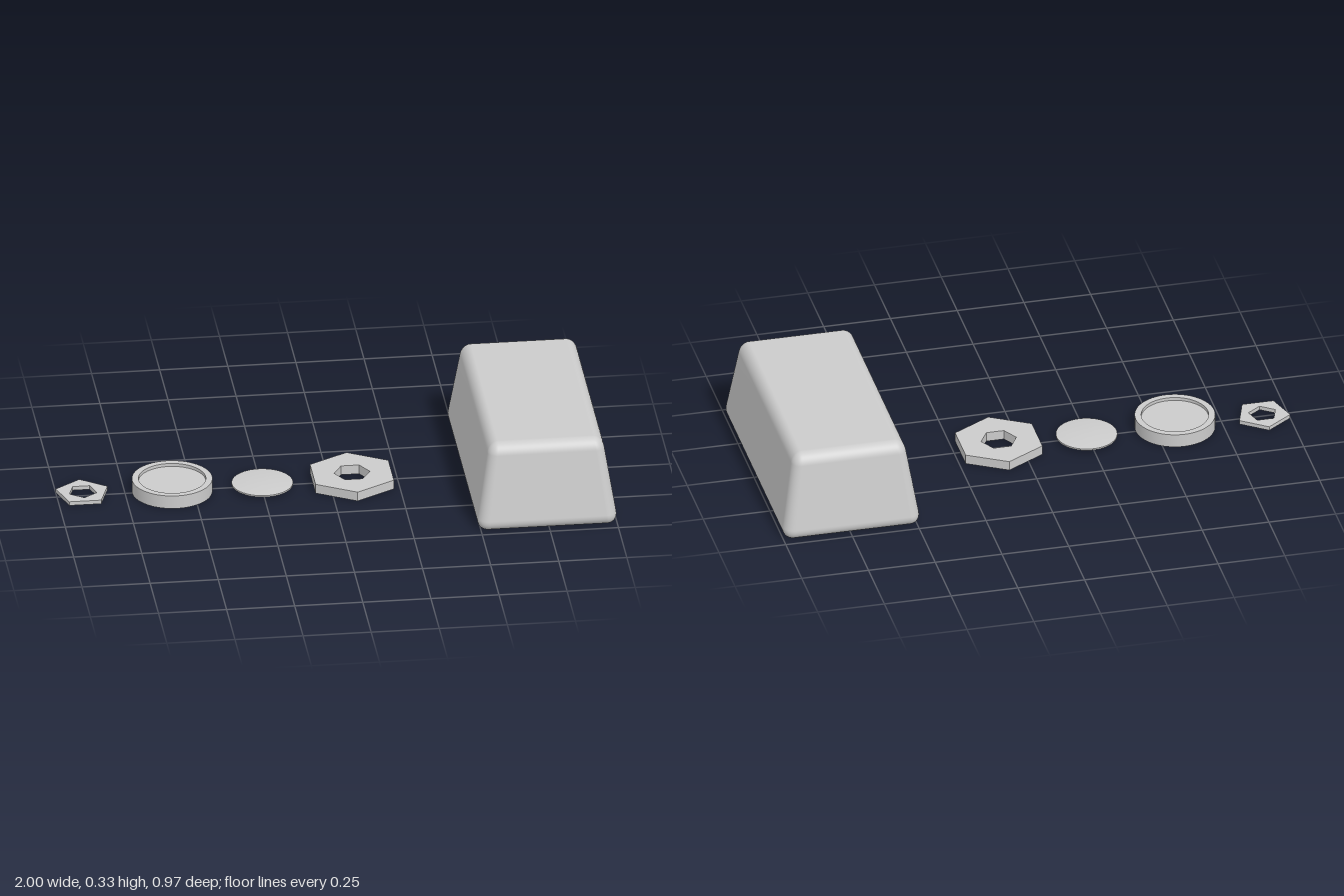
import * as THREE from 'three';
import { mergeVertices, toCreasedNormals } from 'three/addons/utils/BufferGeometryUtils.js';
import { RoundedBoxGeometry } from 'three/addons/geometries/RoundedBoxGeometry.js';

const material = new THREE.MeshStandardMaterial({ color: 0xcccccc });

function addPart(group, name, geometry, x, z = 0) {
  const mesh = new THREE.Mesh(geometry, material);
  mesh.name = name;
  mesh.position.set(x, 0, z);
  group.add(mesh);
}

// Corner points of a regular polygon
function polygon(sides, radius, startAngle) {
  return Array.from({ length: sides }, (_, i) => {
    const a = startAngle + (i / sides) * Math.PI * 2;
    return new THREE.Vector2(Math.cos(a) * radius, Math.sin(a) * radius);
  });
}

// Flat polygonal coin whose hole is turned half a step against the rim
function polygonCoin(sides, radius, holeRadius, height) {
  const shape = new THREE.Shape(polygon(sides, radius, Math.PI / 2));
  shape.holes.push(new THREE.Path(polygon(sides, holeRadius, Math.PI / 2 + Math.PI / sides)));
  const geometry = new THREE.ExtrudeGeometry(shape, { depth: height, bevelEnabled: false });
  return geometry.rotateX(-Math.PI / 2);
}

// Turned coin; the profile runs from the bottom centre to the top centre
function turnedCoin(profile) {
  const points = profile.map(([r, y]) => new THREE.Vector2(r, y));
  return toCreasedNormals(new THREE.LatheGeometry(points, 64), Math.PI / 6);
}

// Rounded bar whose sides lean inwards with height
function taperedBar(width, height, depth, radius, slope) {
  let geometry = new RoundedBoxGeometry(width, height, depth, 6, radius);
  geometry.translate(0, height / 2, 0);
  const p = geometry.attributes.position;
  for (let i = 0; i < p.count; i++) {
    const inset = slope * p.getY(i);
    p.setX(i, p.getX(i) * (1 - inset / (width / 2)));
    p.setZ(i, p.getZ(i) * (1 - inset / (depth / 2)));
  }
  geometry.deleteAttribute('normal');
  geometry.deleteAttribute('uv');
  geometry = mergeVertices(geometry, 1e-5);
  geometry.computeVertexNormals();
  return geometry;
}

export function createModel() {
  const group = new THREE.Group();
  group.name = 'coinsAndIngot';

  addPart(group, 'pentagonCoin', polygonCoin(5, 0.1, 0.053, 0.015), -0.905, -0.006);

  // Coin with a raised rim on both faces
  addPart(group, 'rimmedCoin', turnedCoin([
    [0, 0.012], [0.123, 0.012], [0.123, 0], [0.147, 0],
    [0.147, 0.051], [0.123, 0.051], [0.123, 0.039], [0, 0.039],
  ]), -0.577);

  // Thin coin, domed above and below
  const dome = [0, 0.2, 0.4, 0.6, 0.8, 0.93, 1].map((t) => [0.112 * t, 0.003 + 0.0065 * t * t]);
  const upper = dome.map(([r, y]) => [r, 0.025 - y]).reverse();
  addPart(group, 'domedCoin', turnedCoin([...dome, ...upper]), -0.246);

  addPart(group, 'hexagonCoin', polygonCoin(6, 0.166, 0.066, 0.036), 0.083);

  addPart(group, 'ingot', taperedBar(0.522, 0.33, 0.98, 0.042, 0.16), 0.744);

  return group;
}
